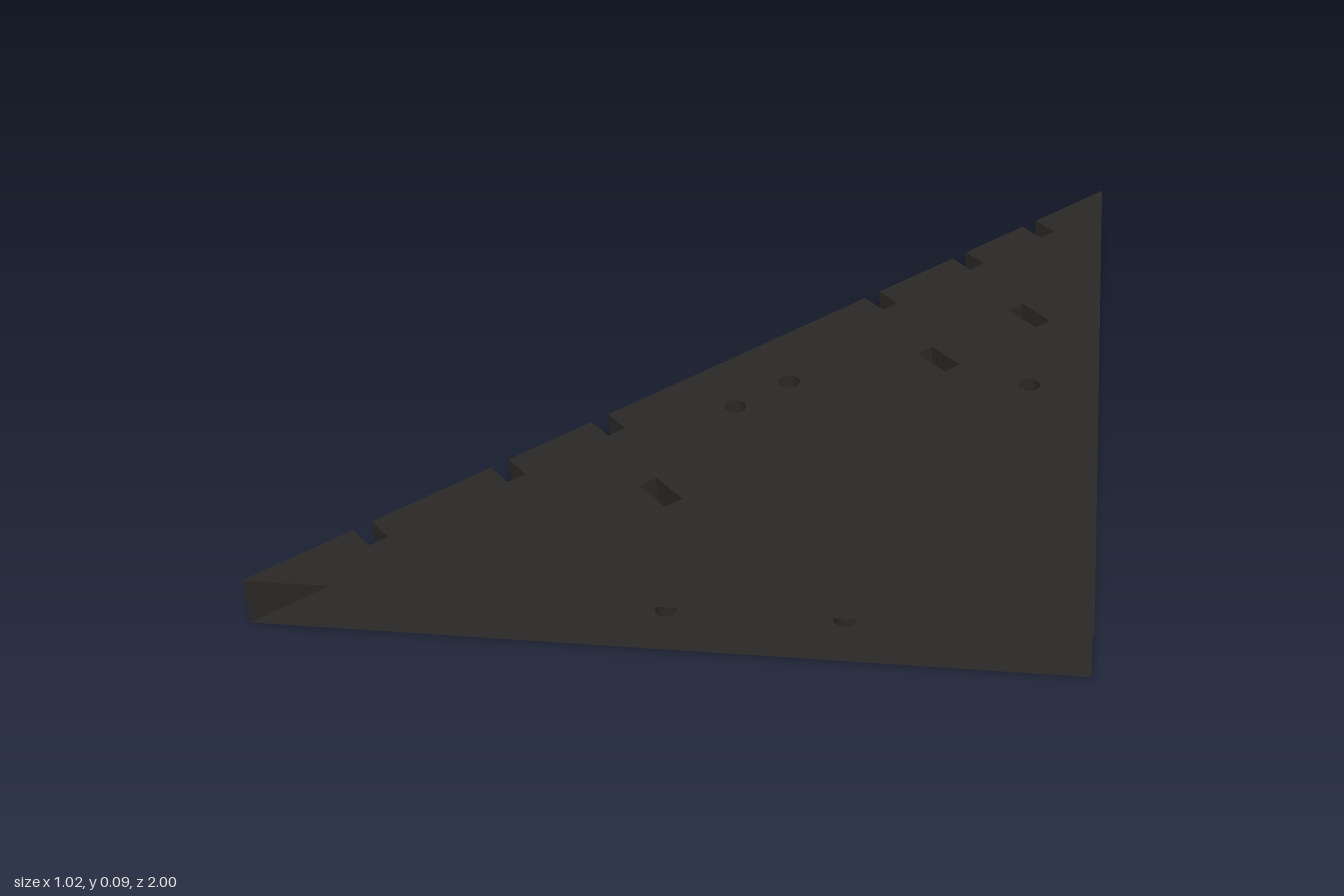
import * as THREE from 'three';

const H = 0.093, BACK = -0.51, TIP = 0.51, NOTCH = -0.455;
// start of each edge notch along z; each has the same width
const NOTCH_Z = [-0.81, -0.619, -0.391, 0.257, 0.473, 0.752], NOTCH_W = 0.037;
// slots: [x, z]; round holes: [x, z, radius]
const SLOTS = [[-0.257, -0.559], [-0.257, -0.326]], BLIND_SLOT = [-0.257, 0.32];
const SLOT_W = 0.079, SLOT_D = 0.037;
const HOLES = [[-0.38, -0.063, 0.02], [-0.38, 0.063, 0.02], [-0.083, -0.4, 0.02]];
const POCKETS = [[-0.083, 0.44, 0.018], [0.133, 0.22, 0.02], [0.258, 0.01, 0.02]];
const POCKET_H = 0.08;

export function createModel() {
  const group = new THREE.Group();
  const material = new THREE.MeshStandardMaterial({
    color: 0x2a2826, side: THREE.DoubleSide, flatShading: true,
  });
  const add = (name, geometry, y = 0) => {
    const mesh = new THREE.Mesh(geometry, material);
    mesh.name = name;
    mesh.position.y = y;
    group.add(mesh);
    return mesh;
  };

  // plan outline of the back edge, running along the notches
  const edge = [[BACK, -1]];
  for (const z of NOTCH_Z) {
    edge.push([BACK, z], [NOTCH, z], [NOTCH, z + NOTCH_W], [BACK, z + NOTCH_W]);
  }
  edge.push([BACK, 1]);

  const slotPoints = ([x, z]) => [[-1, -1], [1, -1], [1, 1], [-1, 1]]
    .map(([a, b]) => [x + a * SLOT_W / 2, z + b * SLOT_D / 2]);
  const circlePoints = ([x, z, r]) => Array.from({ length: 24 }, (_, i) => {
    const a = i / 24 * Math.PI * 2;
    return [x + r * Math.cos(a), z + r * Math.sin(a)];
  });
  const toPlan = (points) => points.map(([x, z]) => new THREE.Vector2(x, -z));

  // flat triangular sheet with openings
  const sheet = (openings) => {
    const shape = new THREE.Shape(toPlan([...edge, [TIP, 0]]));
    shape.holes = openings.map((o) => new THREE.Path(toPlan(o)));
    return new THREE.ShapeGeometry(shape).rotateX(-Math.PI / 2);
  };

  // upright band following plan points
  const band = (points, height, closed) => {
    const pos = [], index = [];
    const list = closed ? [...points, points[0]] : points;
    list.forEach(([x, z], i) => {
      pos.push(x, 0, z, x, height, z);
      const k = i * 2;
      if (i < list.length - 1) index.push(k, k + 2, k + 1, k + 1, k + 2, k + 3);
    });
    const g = new THREE.BufferGeometry();
    g.setAttribute('position', new THREE.Float32BufferAttribute(pos, 3));
    g.setIndex(index);
    g.computeVertexNormals();
    return g;
  };

  const through = [...SLOTS.map(slotPoints), ...HOLES.map(circlePoints)];
  const blind = slotPoints(BLIND_SLOT);
  const pockets = POCKETS.map(circlePoints);

  // top and bottom sheets
  add('topPlate', sheet([...through, blind]), H);
  const bottom = sheet([...through, ...pockets]);
  const order = bottom.index.array;
  for (let i = 0; i < order.length; i += 3) [order[i], order[i + 1]] = [order[i + 1], order[i]];
  bottom.computeVertexNormals();
  add('bottomPlate', bottom);

  // notched wall along the long edge
  add('notchedWall', band(edge, H, false));

  // rear sloping wall, cut away diagonally toward the tip; the front side is open
  const length = Math.hypot(TIP - BACK, 1);
  const wall = new THREE.ShapeGeometry(new THREE.Shape([
    new THREE.Vector2(0, 0), new THREE.Vector2(0.5 * length, 0),
    new THREE.Vector2(length, H), new THREE.Vector2(0, H),
  ]));
  const rearWall = add('rearWall', wall);
  rearWall.position.set(BACK, 0, -1);
  rearWall.rotation.y = -Math.atan2(1, TIP - BACK);

  // walls of slots, round holes and blind pockets
  through.forEach((p) => add('holeWall', band(p, H, true)));
  add('blindSlotWall', band(blind, H, true));
  pockets.forEach((p, i) => {
    add('pocketWall', band(p, POCKET_H, true));
    const [x, z, r] = POCKETS[i];
    const cap = new THREE.CircleGeometry(r, 24).rotateX(-Math.PI / 2).translate(x, 0, z);
    add('pocketCap', cap, POCKET_H);
  });
  return group;
}
